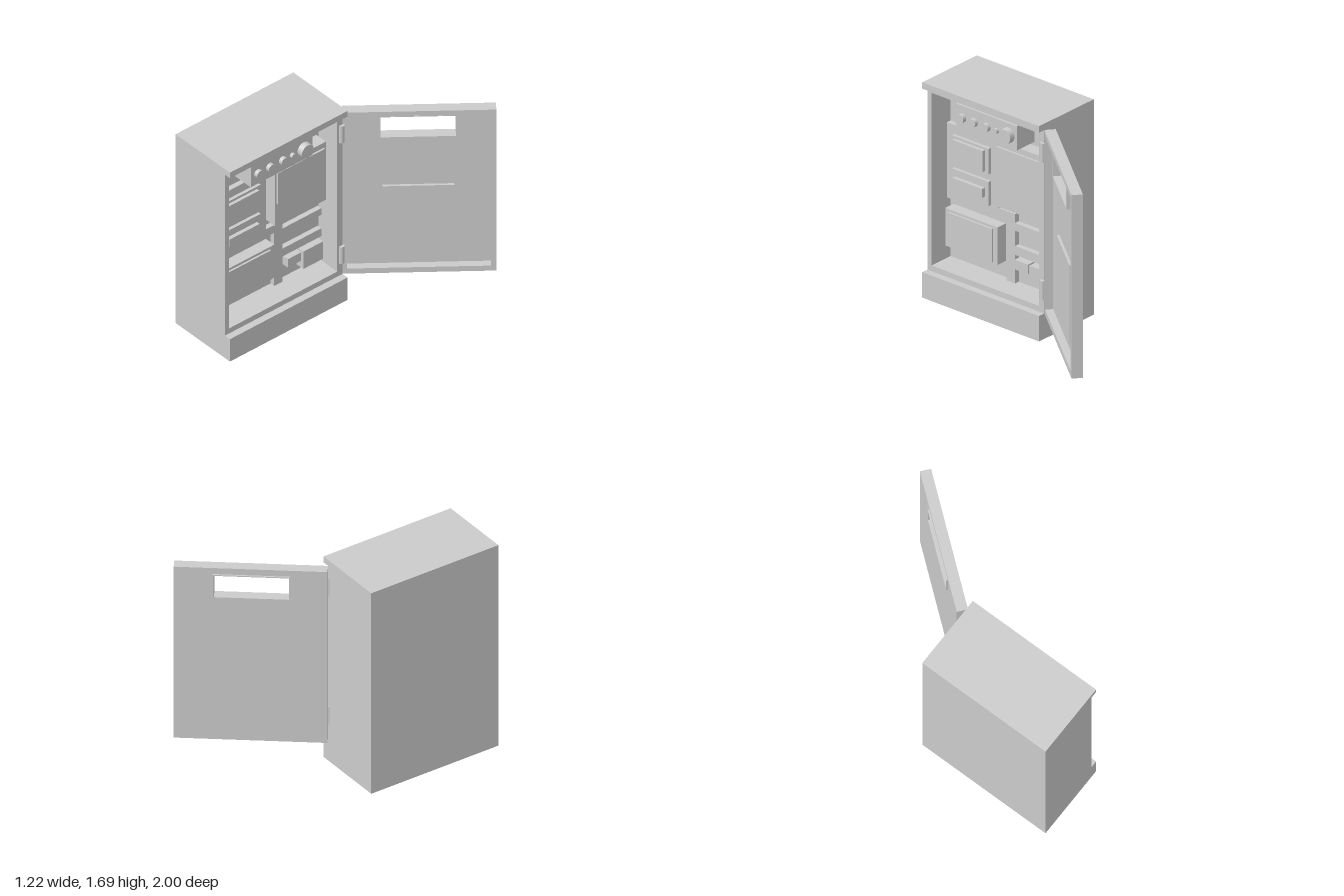
import * as THREE from 'three';

const mat = new THREE.MeshStandardMaterial({ color: 0xcccccc, flatShading: true });
const smooth = new THREE.MeshStandardMaterial({ color: 0xcccccc });

function add(parent, name, geo, material = mat) {
  const m = new THREE.Mesh(geo, material);
  m.name = name;
  parent.add(m);
  return m;
}

// Box given by its limits on each axis
function block(parent, name, [x0, x1], [y0, y1], [z0, z1]) {
  const m = add(parent, name, new THREE.BoxGeometry(x1 - x0, y1 - y0, z1 - z0));
  m.position.set((x0 + x1) / 2, (y0 + y1) / 2, (z0 + z1) / 2);
  return m;
}

function rect(Type, [x0, x1], [y0, y1]) {
  return new Type([[x0, y0], [x1, y0], [x1, y1], [x0, y1]].map(p => new THREE.Vector2(...p)));
}

// Plate with cut-outs, running from z0 to z1
function plate(parent, name, shape, [z0, z1], holes = []) {
  shape.holes.push(...holes);
  const m = add(parent, name, new THREE.ExtrudeGeometry(shape, { depth: z1 - z0, bevelEnabled: false }));
  m.position.z = z0;
  return m;
}

// Cabinet is built with its open side facing local +z, then turned to face +x
function buildCabinet() {
  const g = new THREE.Group();
  g.name = 'cabinet';
  const U = [-1, 0.1], back = -0.28, rim = -0.075, face = -0.02;

  block(g, 'cabinetBack', U, [0, 1.69], [-0.61, back]);
  plate(g, 'cabinetWalls', rect(THREE.Shape, U, [0, 1.69]), [back, rim],
    [rect(THREE.Path, [-0.96, 0.05], [0.245, 1.6])]);
  block(g, 'topLip', U, [1.64, 1.69], [rim, face]);
  block(g, 'plinth', U, [0, 0.2], [rim, face]);

  // Raised mounting plate with cable ducts
  const outline = [[-0.96, 0.72], [-0.398, 0.72], [-0.398, 0.245], [-0.318, 0.245], [-0.318, 0.47],
    [0.045, 0.47], [0.045, 0.54], [-0.318, 0.54], [-0.318, 0.66], [0.045, 0.66], [0.045, 0.72],
    [-0.318, 0.72], [-0.318, 0.79], [-0.473, 0.79], [-0.473, 1.6], [-0.543, 1.6], [-0.543, 1.31],
    [-0.96, 1.31]];
  plate(g, 'mountingPlate', new THREE.Shape(outline.map(p => new THREE.Vector2(...p))), [back, -0.24]);

  // Equipment: name, horizontal limits, vertical limits, front depth
  [
    ['upperModule', [-0.443, 0.03], [0.84, 1.36], -0.175],
    ['upperModuleCover', [-0.43, 0.01], [1.037, 1.315], -0.16],
    ['relay', [-0.89, -0.545], [1.04, 1.24], -0.215],
    ['relayCover', [-0.865, -0.58], [1.055, 1.22], -0.19],
    ['terminalBlock', [-0.89, -0.545], [0.79, 0.98], -0.215],
    ['terminalStrip', [-0.86, -0.58], [0.855, 0.925], -0.185],
    ['lowerModule', [-0.93, -0.44], [0.37, 0.665], -0.19],
    ['lowerModuleCover', [-0.895, -0.48], [0.382, 0.645], -0.175],
    ['smallBreaker', [-0.295, -0.17], [0.375, 0.45], -0.21],
    ['largeBreaker', [-0.155, 0.03], [0.295, 0.45], -0.205],
    ['controlBox', [-0.745, -0.17], [1.39, 1.58], -0.09],
  ].forEach(([name, u, y, front]) => block(g, name, u, y, [back, front]));

  // Round knobs on the control box: position, radius, front depth
  [
    [-0.68, 0.033, -0.06], [-0.57, 0.033, -0.06], [-0.45, 0.033, -0.06],
    [-0.36, 0.021, -0.065], [-0.25, 0.058, -0.045],
  ].forEach(([u, r, front]) => {
    const len = front + 0.09;
    const k = add(g, 'knob', new THREE.CylinderGeometry(r * 0.95, r, len, 32).rotateX(Math.PI / 2), smooth);
    k.position.set(u, 1.487, -0.09 + len / 2);
  });

  g.rotation.y = Math.PI / 2;
  return g;
}

// Door is built along local +x from the hinge, its inner side facing +z
function buildDoor() {
  const g = new THREE.Group();
  g.name = 'door';
  const W = [0, 1.092], H = [0.2, 1.64], floor = -0.058;
  const winX = [0.264, 0.815], winY = [1.395, 1.59];

  plate(g, 'doorRim', rect(THREE.Shape, W, H), [floor, 0],
    [rect(THREE.Path, [0.033, 1.055], [0.245, 1.6])]);
  plate(g, 'doorPanel', rect(THREE.Shape, W, H), [-0.082, floor],
    [rect(THREE.Path, winX, winY)]);
  plate(g, 'windowFrame', rect(THREE.Shape, winX, winY), [-0.094, -0.012],
    [rect(THREE.Path, [0.272, 0.806], [1.403, 1.582])]);
  block(g, 'documentPocket', [0.285, 0.795], [0.335, 0.945], [floor, -0.038]);

  g.position.set(-0.077, 0, -0.1);
  g.rotation.y = 0.895;
  return g;
}

export function createModel() {
  const model = new THREE.Group();
  model.name = 'controlCabinet';
  model.add(buildCabinet(), buildDoor());

  // Hinge barrels
  for (const y of [0.385, 1.465]) {
    const h = add(model, 'hinge', new THREE.CylinderGeometry(0.022, 0.022, 0.15, 20), smooth);
    h.position.set(-0.073, y, -0.089);
  }
  return model;
}
